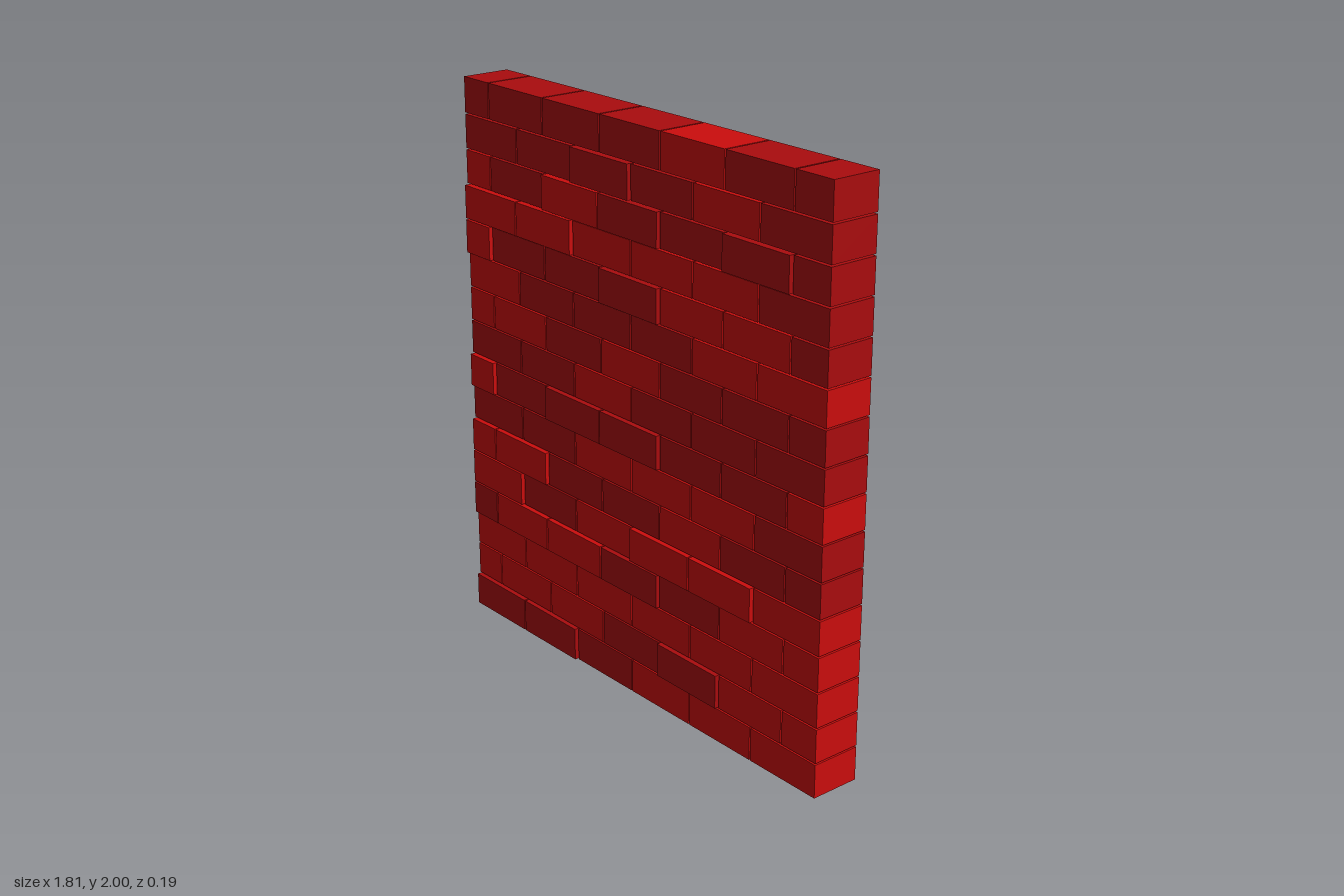
import * as THREE from 'three';

// Courses from bottom to top: D = dark brick, B = bright brick.
// Six letters is a course of whole bricks, seven has a half brick at each end.
const COURSES = [
  'DDDBBB', 'BBBDDBB', 'BBBBBB', 'DBBDDBB',
  'BDBBBB', 'BBDDBDD', 'DDBBBD', 'BDDDDDB',
  'DDBDDD', 'BBDBDDD', 'BDDDBB', 'BDDDBBD',
  'BBBBBD', 'BDBDDDD', 'DDDDBD', 'DDDDBDD',
];
const FLUSH = [2, 6, 8, 9, 10, 15]; // courses without any protruding brick
const WHOLE_EDGES = [-0.905, -0.607, -0.304, 0, 0.302, 0.605, 0.905];
const HALF_EDGES = [-0.905, -0.762, -0.46, -0.157, 0.145, 0.447, 0.749, 0.905];
const PITCH = 0.125, GAP = 0.006, DEPTH = 0.18;

function seeded(seed) {
  return () => {
    seed = (seed * 16807) % 2147483647;
    return seed / 2147483647;
  };
}

export function createModel() {
  const wall = new THREE.Group();
  wall.name = 'brickWall';
  const darkBrick = new THREE.MeshStandardMaterial({ color: 0xaa0c0e });
  darkBrick.name = 'dark red brick';
  const brightBrick = new THREE.MeshStandardMaterial({ color: 0xcc0d0d });
  brightBrick.name = 'bright red brick';
  const random = seeded(41);

  COURSES.forEach((pattern, row) => {
    const course = new THREE.Group();
    course.name = `course${row + 1}`;
    const edges = pattern.length === 6 ? WHOLE_EDGES : HALF_EDGES;
    const height = row === COURSES.length - 1 ? PITCH : PITCH - GAP;

    [...pattern].forEach((tone, i) => {
      const last = i === pattern.length - 1;
      const width = edges[i + 1] - edges[i] - (last ? 0 : GAP);
      const brick = new THREE.Mesh(
        new THREE.BoxGeometry(width, height, DEPTH),
        tone === 'D' ? darkBrick : brightBrick
      );
      // Some bricks stand slightly proud of the wall face
      const proud = !last && !FLUSH.includes(row) && random() < 0.45;
      brick.position.set(edges[i] + width / 2, row * PITCH + height / 2, proud ? 0.006 : -0.005);
      brick.name = `brick${i + 1}`;
      course.add(brick);
    });
    wall.add(course);
  });
  return wall;
}
